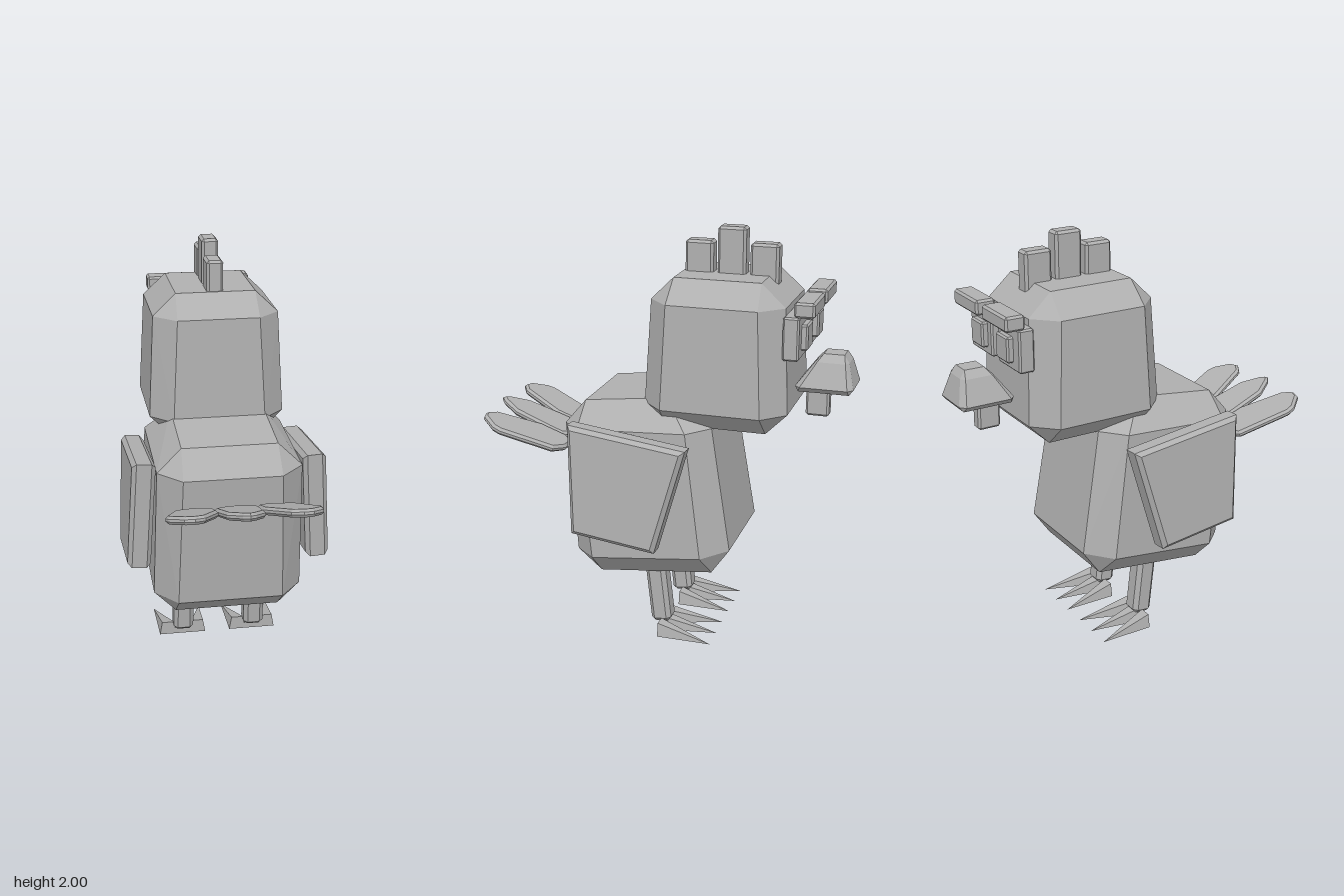
import * as THREE from 'three';
import { ConvexGeometry } from 'three/addons/geometries/ConvexGeometry.js';

const grey = new THREE.MeshStandardMaterial({ color: 0xb0b0b0 });
grey.name = 'plain grey';

// Convex solid, symmetric in x, from [halfWidth, y, z] points
function mirroredHull(points) {
  const all = [];
  for (const [x, y, z] of points) all.push(new THREE.Vector3(x, y, z), new THREE.Vector3(-x, y, z));
  return new ConvexGeometry(all);
}

// Box with chamfered edges, centred on the origin
function chamferBox(w, h, d, b) {
  const pts = [];
  for (const y of [-h / 2, h / 2]) for (const z of [-d / 2, d / 2]) {
    const yi = y - Math.sign(y) * b, zi = z - Math.sign(z) * b;
    pts.push([w / 2, yi, zi], [w / 2 - b, y, zi], [w / 2 - b, yi, z]);
  }
  return mirroredHull(pts);
}

// Bevelled flat plate from an outline, centred in its thickness
function slab(outline, thickness, bevel) {
  const shape = new THREE.Shape(outline.map(([x, y]) => new THREE.Vector2(x, y)));
  const geo = new THREE.ExtrudeGeometry(shape, {
    depth: thickness - 2 * bevel, bevelEnabled: true, bevelSegments: 1,
    bevelThickness: bevel, bevelSize: bevel, bevelOffset: -bevel,
  });
  return geo.translate(0, 0, bevel - thickness / 2);
}

export function createModel() {
  const model = new THREE.Group();
  model.name = 'chicken';
  const add = (name, geo, x = 0, y = 0, z = 0) => {
    const mesh = new THREE.Mesh(geo, grey);
    mesh.name = name;
    mesh.position.set(x, y, z);
    model.add(mesh);
    return mesh;
  };

  // Leaning, chamfered body
  add('body', mirroredHull([
    [0.25, 0.305, 0.28], [0.25, 0.37, -0.28],
    [0.25, 0.405, 0.40], [0.25, 0.495, -0.367],
    [0.355, 0.415, 0.29], [0.355, 0.48, -0.25],
    [0.34, 1.06, 0.36], [0.34, 1.09, -0.17],
    [0.23, 1.05, 0.458], [0.23, 1.093, -0.268],
    [0.225, 1.172, 0.355], [0.225, 1.22, -0.05],
  ]));

  // Tapered head
  add('head', mirroredHull([
    [0.22, 1.09, -0.04], [0.22, 1.09, -0.52],
    [0.22, 1.19, 0.06], [0.22, 1.19, -0.62],
    [0.325, 1.19, -0.045], [0.325, 1.19, -0.515],
    [0.30, 1.68, -0.065], [0.30, 1.68, -0.49],
    [0.195, 1.68, 0.035], [0.195, 1.68, -0.595],
    [0.19, 1.785, -0.07], [0.19, 1.785, -0.48],
  ]));

  // Comb blocks
  for (const [z, top] of [[-0.146, 1.93], [-0.3, 2.0], [-0.454, 1.93]]) {
    const h = top - 1.72;
    add('comb', chamferBox(0.08, h, 0.134, 0.012), 0, top - h / 2, z);
  }

  // Beak and wattle
  add('beak', mirroredHull([
    [0.095, 1.27, -0.64], [0.095, 1.27, -0.875],
    [0.09, 1.295, -0.625], [0.09, 1.295, -0.895],
    [0.118, 1.295, -0.65], [0.118, 1.295, -0.87],
    [0.075, 1.41, -0.72], [0.075, 1.41, -0.85],
    [0.05, 1.41, -0.71], [0.05, 1.41, -0.865],
    [0.045, 1.445, -0.745], [0.045, 1.445, -0.84],
  ]));
  add('wattle', chamferBox(0.06, 0.17, 0.11, 0.01), 0, 1.22, -0.72);

  // Wing outline as [z, y] about the wing centre
  const wingOutline = [[0.27, 0.31], [-0.3, 0.24], [-0.16, -0.27], [0.25, -0.22]];

  for (const s of [1, -1]) {
    // Eyes and brows
    add('eye', chamferBox(0.21, 0.2, 0.075, 0.008), s * 0.135, 1.55, -0.628);
    add('pupil', chamferBox(0.113, 0.12, 0.06, 0.008), s * 0.125, 1.547, -0.665);
    add('brow', chamferBox(0.235, 0.07, 0.095, 0.01), s * 0.143, 1.69, -0.69);

    // Wing
    const wing = add('wing', slab(wingOutline, 0.11, 0.02).rotateY(-Math.PI / 2), s * 0.415, 0.8, 0.1);
    wing.rotation.z = s * 0.06;

    // Leg
    const leg = add('leg', chamferBox(0.1, 0.4, 0.1, 0.02), s * 0.18, 0.25, 0.004);
    leg.rotation.x = 0.11;

    // Three pointed toes
    for (const k of [-1, 0, 1]) {
      const bx = k * 0.075, tip = new THREE.Vector3(k * 0.12, 0.008, -0.29);
      const base = [[-0.042, 0.005], [0.042, 0.005], [0.03, 0.072], [-0.03, 0.072]]
        .map(([x, y]) => new THREE.Vector3(bx + x, y, -0.02));
      add('toe', new ConvexGeometry([...base, tip]), s * 0.18, 0, 0);
    }
  }

  // Tail feathers, outlines as [x, z], laid on a plane rising backwards
  const tilt = 0.342;
  const middle = [[0.03, 0.465], [0.1, 0.535], [0.1, 0.6], [0.085, 0.78], [0.03, 0.865], [0, 0.887]];
  const middleFull = [...middle, ...middle.slice(0, 5).reverse().map(([x, z]) => [-x, z])];
  const side = [[0.135, 0.467], [0.21, 0.467], [0.28, 0.505], [0.348, 0.75], [0.34, 0.79],
    [0.28, 0.86], [0.235, 0.87], [0.185, 0.84], [0.1, 0.64], [0.1, 0.51]];
  const feathers = [middleFull, side, side.map(([x, z]) => [-x, z])];
  for (const outline of feathers) {
    const flat = outline.map(([x, z]) => [x, (z - 0.465) / Math.cos(tilt)]);
    add('tailFeather', slab(flat, 0.036, 0.012).rotateX(Math.PI / 2 - tilt), 0, 0.905, 0.47);
  }

  return model;
}
